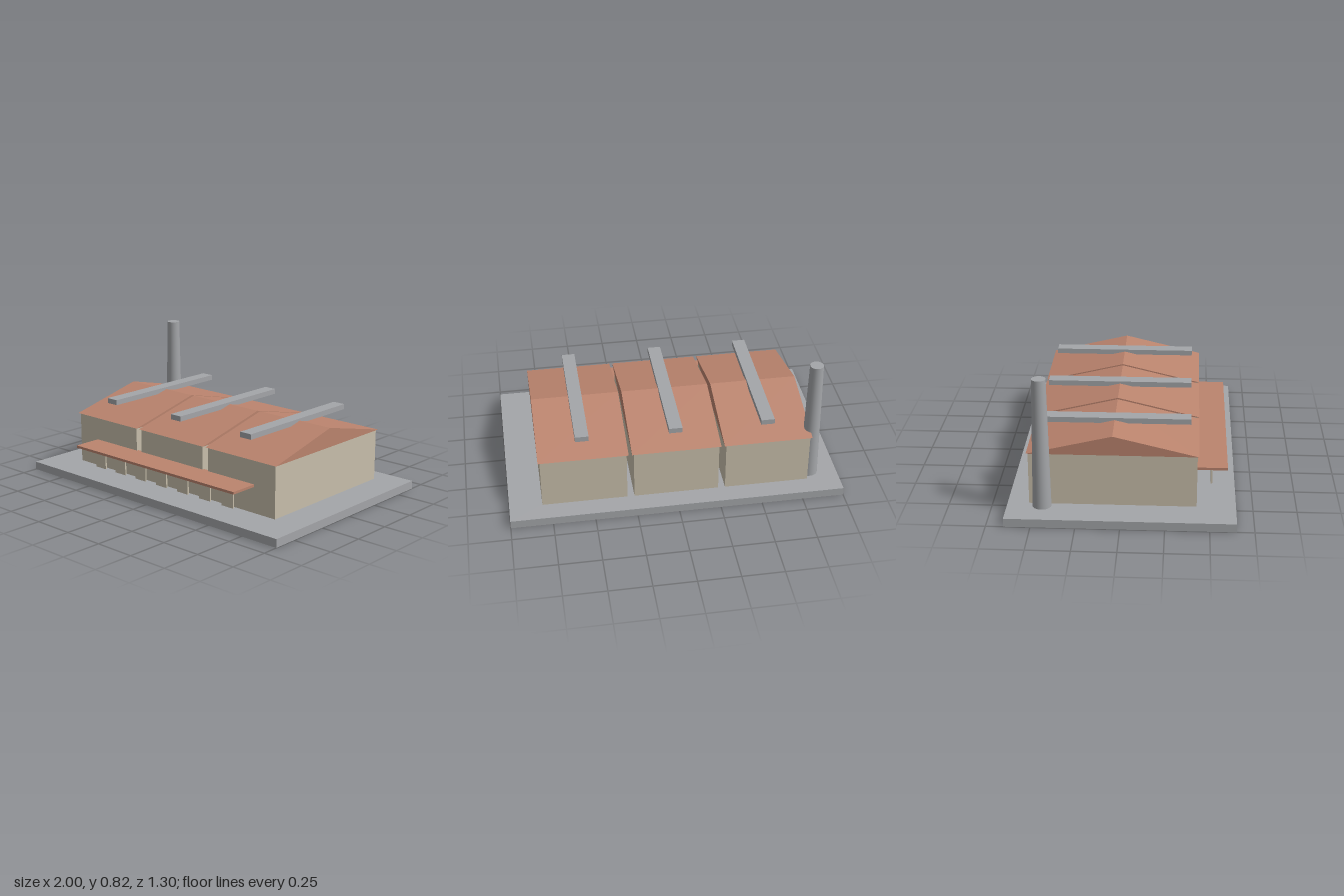
import * as THREE from 'three';

export function createModel() {
  const model = new THREE.Group();
  model.name = 'factory';

  const mat = (name, color) => {
    const m = new THREE.MeshStandardMaterial({ color });
    m.name = name;
    return m;
  };
  const concrete = mat('concrete grey', 0xa4a6a9);
  const plaster = mat('sand plaster', 0xc8bfab);
  const tile = mat('terracotta', 0xbb846e);

  const add = (parent, name, geometry, material, x, y, z) => {
    const mesh = new THREE.Mesh(geometry, material);
    mesh.name = name;
    mesh.position.set(x, y, z);
    parent.add(mesh);
    return mesh;
  };
  // Box given by its size and the height of its underside
  const box = (parent, name, material, w, h, d, x, bottom, z) =>
    add(parent, name, new THREE.BoxGeometry(w, h, d), material, x, bottom + h / 2, z);

  box(model, 'groundSlab', concrete, 2, 0.05, 1.3, 0, 0, 0);

  // Gabled roof: triangle in the z-y plane, extruded along x
  const roofWidth = 0.53, roofDepth = 0.974, roofRise = 0.116;
  const gable = new THREE.Shape();
  gable.moveTo(-roofDepth / 2, 0);
  gable.lineTo(roofDepth / 2, 0);
  gable.lineTo(0, roofRise);
  gable.closePath();
  const roofGeometry = new THREE.ExtrudeGeometry(gable, { depth: roofWidth, bevelEnabled: false });
  roofGeometry.translate(0, 0, -roofWidth / 2);
  roofGeometry.rotateY(Math.PI / 2);

  // Three parallel halls, each with a roof and a ridge vent
  const hallZ = -0.05;
  for (const x of [-0.55, 0, 0.55]) {
    const hall = new THREE.Group();
    hall.name = 'hall';
    hall.position.set(x, 0, hallZ);
    model.add(hall);
    box(hall, 'walls', plaster, 0.508, 0.315, 0.954, 0, 0.05, 0);
    add(hall, 'roof', roofGeometry, tile, 0, 0.365, 0);
    box(hall, 'roofVent', concrete, 0.08, 0.032, 0.876, 0, 0.462, 0);
  }

  // Entrance canopy, with a row of panels below it
  box(model, 'canopy', tile, 1.3, 0.015, 0.19, 0, 0.206, 0.508);
  for (let i = -3; i <= 3; i++) {
    box(model, 'frontPanel', plaster, 0.087, 0.094, 0.009, i * 0.1755, 0.081, 0.513);
  }

  // Tapered chimney at the back corner
  const chimneyHeight = 0.775;
  add(model, 'chimney', new THREE.CylinderGeometry(0.04, 0.054, chimneyHeight, 24),
    concrete, -0.83, 0.05 + chimneyHeight / 2, -0.45);

  return model;
}
